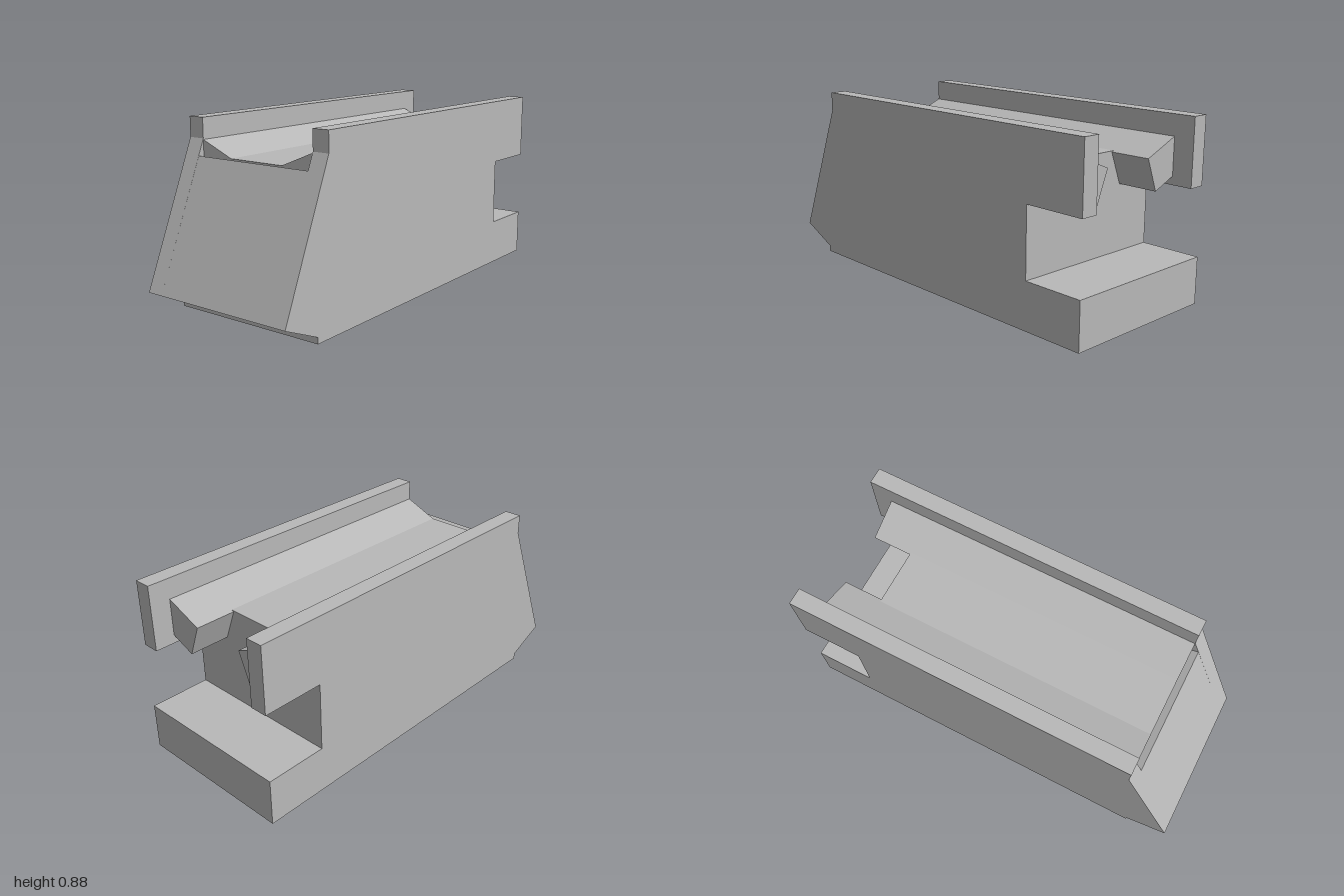
import * as THREE from 'three';

const OUTER = 0.4, INNER = 0.317;

const toShape = (pts) => new THREE.Shape(pts.map(([a, b]) => new THREE.Vector2(a, b)));

// Extrudes a side profile of [z, y] points from x0 to x1
function sideExtrude(pts, x0, x1) {
  const geo = new THREE.ExtrudeGeometry(toShape(pts), { depth: x1 - x0, bevelEnabled: false });
  return geo.rotateY(-Math.PI / 2).translate(x1, 0, 0);
}

export function createModel() {
  const group = new THREE.Group();
  const grey = new THREE.MeshStandardMaterial({ color: 0xb8b8b8 });
  grey.name = 'plain grey';

  const add = (name, geo) => {
    const mesh = new THREE.Mesh(geo, grey);
    mesh.name = name;
    group.add(mesh);
  };

  // Side walls: sloped nose, raised lip and a rear notch
  const wall = [
    [0.8, 0], [0.8, 0.03], [1, 0.117], [0.72, 0.78], [0.72, 0.875], [-1, 0.875],
    [-1, 0.555], [-0.7, 0.555], [-0.7, 0.225], [-1, 0.225], [-1, 0],
  ];
  add('leftWall', sideExtrude(wall, INNER, OUTER));
  add('rightWall', sideExtrude(wall, -OUTER, -INNER));

  // Central block with channel floor and rear ledge
  const core = [
    [0.8, 0], [0.8, 0.2], [0.72, 0.2], [0.72, 0.705],
    [-0.7, 0.705], [-0.7, 0.225], [-1, 0.225], [-1, 0],
  ];
  add('core', sideExtrude(core, -INNER, INNER));

  // Tilted front panel with square-cut ends
  const panel = [[1, 0.117], [0.751, 0.705], [0.711, 0.688], [0.96, 0.1]];
  add('frontPanel', sideExtrude(panel, -INNER, INNER));

  // Tilted rails along both sides of the channel
  const rail = [[INNER, 0.775], [0.135, 0.7], [0.197, 0.545], [INNER, 0.595]];
  for (const [name, side] of [['leftRail', 1], ['rightRail', -1]]) {
    const shape = toShape(rail.map(([x, y]) => [x * side, y]));
    const geo = new THREE.ExtrudeGeometry(shape, { depth: 1.62, bevelEnabled: false });
    add(name, geo.translate(0, 0, -0.9));
  }

  return group;
}
